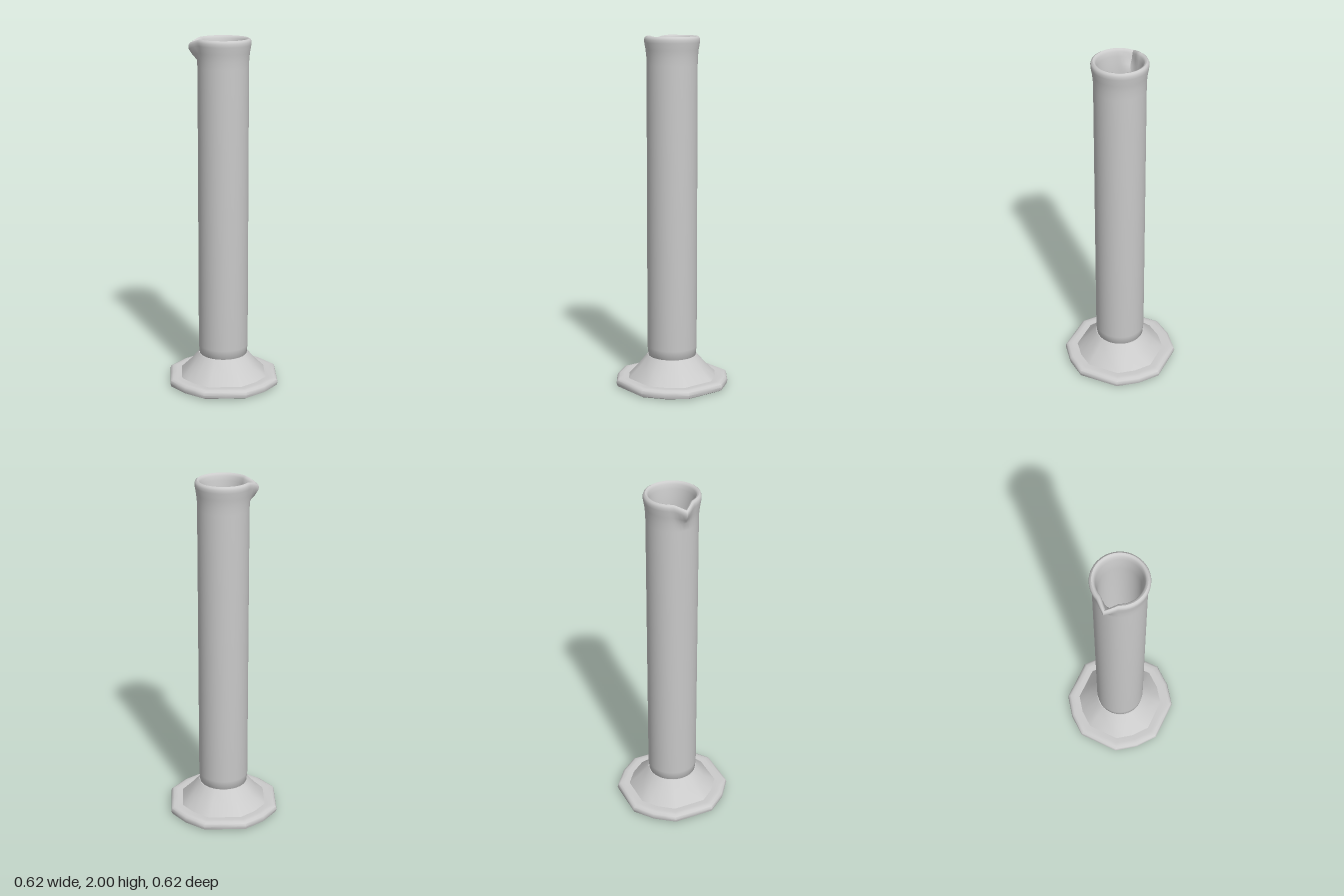
import * as THREE from 'three';
import { mergeVertices, toCreasedNormals } from 'three/addons/utils/BufferGeometryUtils.js';

const material = new THREE.MeshStandardMaterial({ color: 0xcccccc });

// Weld the lathe seam and rebuild normals after vertices were moved
function finish(geometry, crease) {
  geometry.deleteAttribute('uv');
  geometry.deleteAttribute('normal');
  return toCreasedNormals(mergeVertices(geometry, 1e-4), crease);
}

function lathe(profile, segments) {
  return new THREE.LatheGeometry(profile.map(([r, y]) => new THREE.Vector2(r, y)), segments);
}

// Twelve-sided foot whose cone blends into a round collar
function makeFoot() {
  // radius, height, roundness (0 = twelve-sided, 1 = circular)
  const profile = [
    [0, 0.004, 0], [0.29, 0.004, 0], [0.305, 0.012, 0], [0.31, 0.03, 0], [0.305, 0.046, 0],
    [0.292, 0.054, 0], [0.27, 0.055, 0], [0.241, 0.053, 0], [0.19, 0.115, 0.6],
    [0.147, 0.172, 1], [0.142, 0.178, 1], [0.12, 0.178, 1],
  ];
  // Corners of the outline, with the middle of each side between them
  const corners = [];
  for (let q = 0; q < 4; q++) {
    for (const [x, z] of [[0.12, 0.31], [0.228, 0.228], [0.31, 0.12]]) {
      corners.push(new THREE.Vector2(x, z).rotateAround(new THREE.Vector2(), -q * Math.PI / 2));
    }
  }
  const outline = corners.flatMap((c, i) => [c, c.clone().lerp(corners[(i + 1) % 12], 0.5)]);
  const geometry = lathe(profile, 24);
  const pos = geometry.attributes.position;
  for (let n = 0; n < pos.count; n++) {
    const [r, y, round] = profile[n % profile.length];
    const corner = outline[Math.floor(n / profile.length) % 24];
    const p = corner.clone().multiplyScalar(r / 0.31);
    p.lerp(corner.clone().setLength(r), round);
    pos.setXYZ(n, p.x, y, p.y);
  }
  return finish(geometry, 0.75);
}

// Hollow tube with a flared, rounded rim pulled out to a spout at -x
function makeTube() {
  const profile = [
    [0.125, 0.165], [0.137, 0.178], [0.142, 0.23], [0.142, 1.84], [0.143, 1.885], [0.147, 1.925],
    [0.154, 1.965], [0.155, 1.982], [0.151, 1.994], [0.142, 2.0], [0.133, 1.997], [0.126, 1.985],
    [0.122, 1.96], [0.117, 1.92], [0.114, 1.87], [0.113, 0.26], [0.1, 0.215], [0.06, 0.195], [0, 0.19],
  ];
  const geometry = lathe(profile, 48);
  const pos = geometry.attributes.position;
  const v = new THREE.Vector3();
  for (let n = 0; n < pos.count; n++) {
    v.fromBufferAttribute(pos, n);
    const away = Math.abs(Math.atan2(v.z, -v.x));
    const pull = Math.max(0, 1 - away / 0.42) ** 1.4 * THREE.MathUtils.smoothstep(v.y, 1.87, 1.965);
    const r = Math.hypot(v.x, v.z);
    if (pull > 0 && r > 0.05) {
      const k = 1 + 0.036 * pull / r;
      pos.setXYZ(n, v.x * k, v.y - 0.022 * pull, v.z * k);
    }
  }
  return finish(geometry, 0.9);
}

export function createModel() {
  const group = new THREE.Group();
  group.name = 'measuringCylinder';
  for (const [name, geometry] of [['foot', makeFoot()], ['tube', makeTube()]]) {
    const mesh = new THREE.Mesh(geometry, material);
    mesh.name = name;
    group.add(mesh);
  }
  return group;
}
